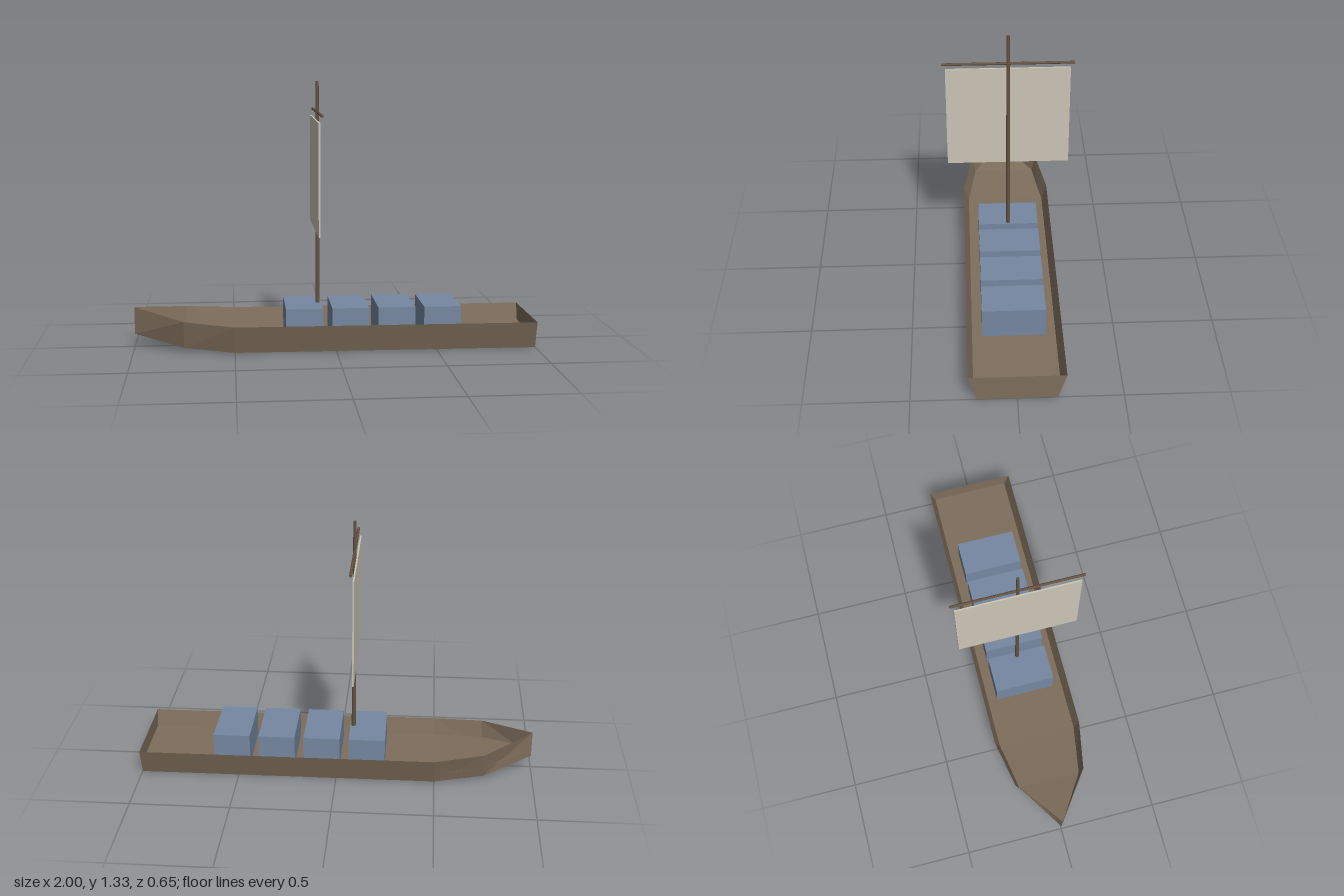
import * as THREE from 'three';

const mat = (name, color, extra = {}) => {
  const m = new THREE.MeshStandardMaterial({ color, ...extra });
  m.name = name;
  return m;
};

// Flat-shaded surface from quads given by their corners, counter-clockwise from outside
function quadSurface(quads) {
  const pos = [];
  for (const [a, b, c, d] of quads) pos.push(...a, ...b, ...c, ...a, ...c, ...d);
  const g = new THREE.BufferGeometry();
  g.setAttribute('position', new THREE.Float32BufferAttribute(pos, 3));
  g.computeVertexNormals();
  return g;
}

export function createModel() {
  const boat = new THREE.Group();
  boat.name = 'cargoBoat';
  const wood = mat('hullBrown', 0x7f6e5c, { side: THREE.DoubleSide });
  const spar = mat('sparBrown', 0x655443);
  const cloth = mat('sailCream', 0xcdc6b8);
  const crate = mat('cargoBlue', 0x7688a2);

  const add = (name, geometry, material, x = 0, y = 0, z = 0) => {
    const mesh = new THREE.Mesh(geometry, material);
    mesh.name = name;
    mesh.position.set(x, y, z);
    boat.add(mesh);
    return mesh;
  };

  // Hull stations from bow to stern: x, keel height, half width at the rail
  const stations = [[-1, 0.065, 0], [-0.75, 0.025, 0.183], [-0.5, 0.004, 0.23], [1, 0, 0.23]];
  const depth = 0.137, floorRise = 0.05, bottomRatio = 0.825;
  const point = ([x, y, w], rise, side) => {
    const ratio = bottomRatio + (1 - bottomRatio) * rise / depth;
    return [x, y + rise, side * w * ratio];
  };

  const shell = [], floor = [];
  for (let i = 0; i < stations.length - 1; i++) {
    const a = stations[i], b = stations[i + 1];
    const p = (s, rise, side) => point(s, rise, side);
    // sides
    shell.push([p(a, 0, 1), p(b, 0, 1), p(b, depth, 1), p(a, depth, 1)]);
    shell.push([p(b, 0, -1), p(a, 0, -1), p(a, depth, -1), p(b, depth, -1)]);
    // underside
    shell.push([p(a, 0, -1), p(b, 0, -1), p(b, 0, 1), p(a, 0, 1)]);
    // inner floor
    floor.push([p(a, floorRise, 1), p(b, floorRise, 1), p(b, floorRise, -1), p(a, floorRise, -1)]);
  }
  // transom
  const stern = stations[stations.length - 1];
  shell.push([point(stern, 0, 1), point(stern, 0, -1), point(stern, depth, -1), point(stern, depth, 1)]);
  add('hull', quadSurface(shell), wood);
  add('floor', quadSurface(floor), wood);

  // Row of cargo boxes
  for (let i = 0; i < 4; i++) {
    add(`cargoBox${i + 1}`, new THREE.BoxGeometry(0.185, 0.16, 0.31), crate, -0.155 + i * 0.23, 0.13, 0);
  }

  // Tapered mast, yard and square sail
  add('mast', new THREE.CylinderGeometry(0.008, 0.0115, 1.275, 8), spar, -0.08, 0.6875, 0);
  add('yard', new THREE.CylinderGeometry(0.007, 0.007, 0.65, 8), spar, -0.08, 1.172, 0).rotation.x = Math.PI / 2;
  add('sail', new THREE.BoxGeometry(0.008, 0.55, 0.615), cloth, -0.092, 0.864, 0);

  return boat;
}
